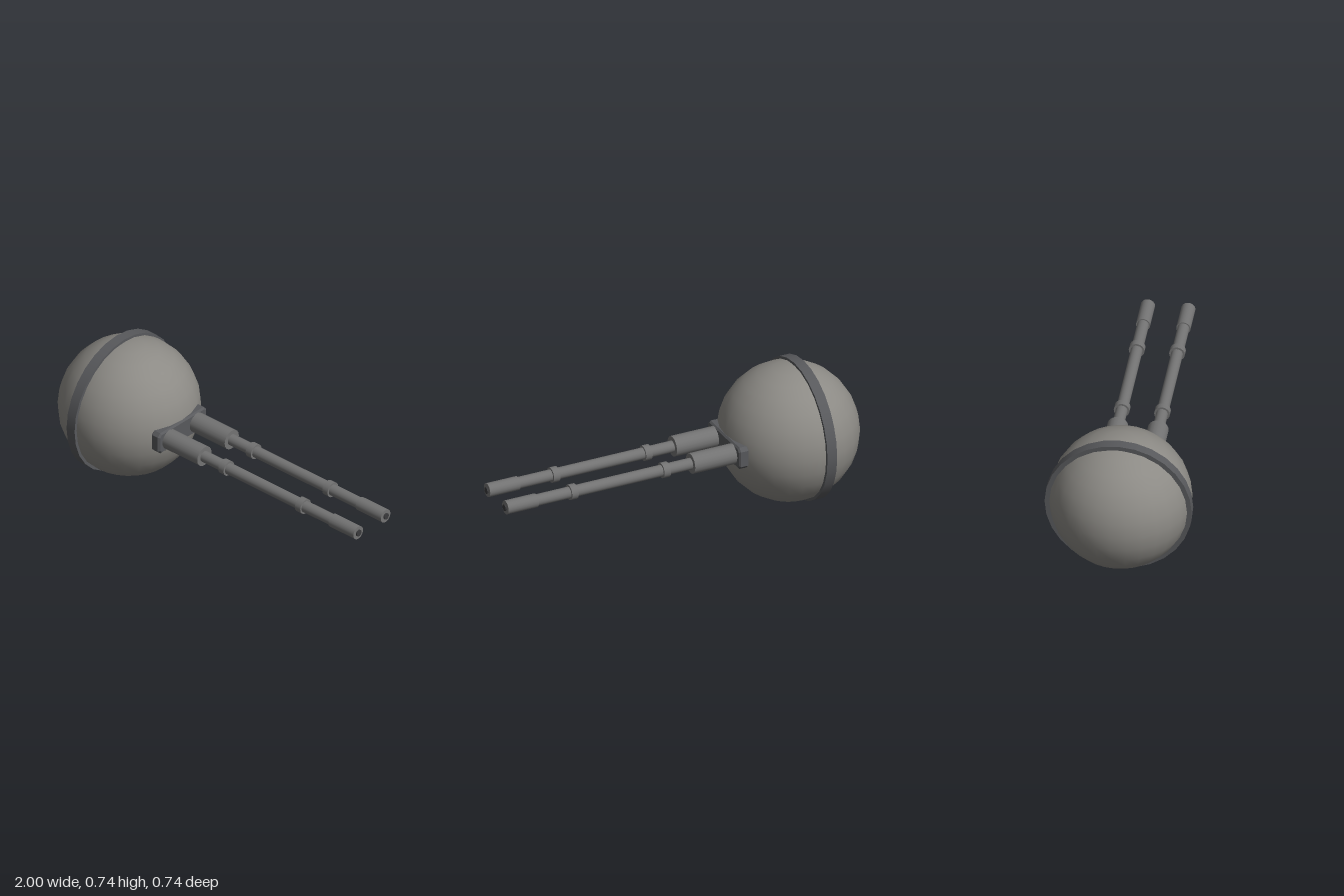
import * as THREE from 'three';

const CY = 0.372; // height of the turret axis

const paint = (color) => new THREE.MeshStandardMaterial({ color });
const shellMat = paint(0x8c8a85);
const darkMat = paint(0x58595c);
const gunMat = paint(0x737373);
const boreMat = paint(0x3a3a3c);

function add(parent, name, geometry, material) {
  const mesh = new THREE.Mesh(geometry, material);
  mesh.name = name;
  parent.add(mesh);
  return mesh;
}

// Solid cylinder lying along x between two positions
function rod(x0, x1, radius, sides = 18) {
  const g = new THREE.CylinderGeometry(radius, radius, x1 - x0, sides);
  g.rotateZ(-Math.PI / 2);
  g.translate((x0 + x1) / 2, 0, 0);
  return g;
}

// Rectangular plate with cut corners and bevelled edges, facing +x
function plate(x0, x1, halfW, halfH, cut, bevel) {
  const w = halfW - bevel, h = halfH - bevel;
  const shape = new THREE.Shape([
    [w, -h + cut], [w, h - cut], [w - cut, h], [-w + cut, h],
    [-w, h - cut], [-w, -h + cut], [-w + cut, -h], [w - cut, -h],
  ].map(([x, y]) => new THREE.Vector2(x, y)));
  const g = new THREE.ExtrudeGeometry(shape, {
    depth: x1 - x0 - 2 * bevel, bevelEnabled: true,
    bevelSize: bevel, bevelThickness: bevel, bevelSegments: 1,
  });
  g.translate(0, 0, bevel);
  g.rotateY(Math.PI / 2);
  g.translate(x0, 0, 0);
  return g;
}

// One gun along +x, built from stepped cylinders
function makeGun(name) {
  const gun = new THREE.Group();
  gun.name = name;
  add(gun, 'sleeve', rod(-0.36, -0.043, 0.053), gunMat);
  add(gun, 'barrel', rod(-0.05, 0.83, 0.03), gunMat);
  add(gun, 'rearCollar', rod(0.086, 0.122, 0.04), gunMat);
  add(gun, 'frontCollar', rod(0.602, 0.638, 0.04), gunMat);
  add(gun, 'muzzle', rod(0.823, 0.993, 0.036), gunMat);
  add(gun, 'bore', rod(0.98, 1.0, 0.017, 14), boreMat);
  return gun;
}

export function createModel() {
  const model = new THREE.Group();
  model.name = 'ballTurret';

  // Spherical housing
  add(model, 'ballHousing', new THREE.SphereGeometry(0.36, 28, 14), shellMat)
    .position.set(-0.64, CY, 0);

  // Band around the ball, with a vertex at the top
  add(model, 'seamRing', rod(-0.728, -0.674, 0.372, 28), darkMat).position.y = CY;

  // Mounting plate behind the guns
  add(model, 'gunMount', plate(-0.335, -0.278, 0.18, 0.06, 0.013, 0.009), darkMat)
    .position.y = CY + 0.001;

  // Twin guns
  for (const side of [1, -1]) {
    const gun = makeGun(side > 0 ? 'frontGun' : 'backGun');
    gun.position.set(0, CY + 0.002, side * 0.102);
    model.add(gun);
  }
  return model;
}
